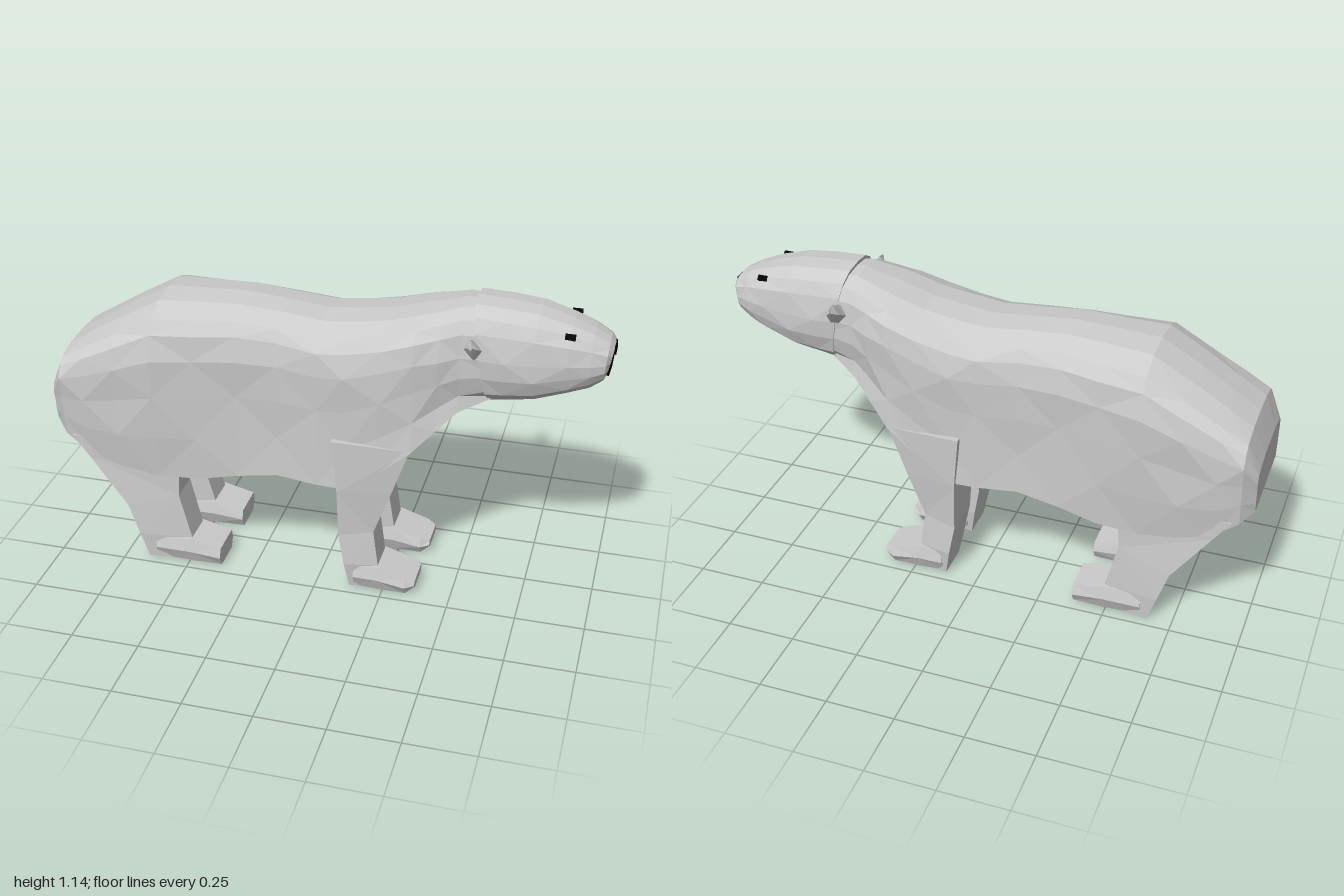
import * as THREE from 'three';

const grey = new THREE.MeshStandardMaterial({ color: 0xcccccc, flatShading: true });
const black = new THREE.MeshStandardMaterial({ color: 0x050505, flatShading: true });

// Closed skin over rings that turn right-handed about the sweep direction
function loft(rings) {
  const pos = [];
  const tri = (...pts) => pts.forEach((p) => pos.push(...p));
  const n = rings[0].length;
  const centre = (r) => [0, 1, 2].map((k) => r.reduce((s, p) => s + p[k], 0) / n);
  const first = rings[0], last = rings[rings.length - 1];
  const c0 = centre(first), c1 = centre(last);
  for (let j = 0; j < n; j++) {
    const k = (j + 1) % n;
    for (let i = 0; i < rings.length - 1; i++) {
      const a = rings[i], b = rings[i + 1];
      if ((i + j) % 2) { tri(a[j], a[k], b[k]); tri(a[j], b[k], b[j]); }
      else { tri(a[j], a[k], b[j]); tri(a[k], b[k], b[j]); }
    }
    tri(c0, first[k], first[j]);
    tri(c1, last[j], last[k]);
  }
  const g = new THREE.BufferGeometry();
  g.setAttribute('position', new THREE.Float32BufferAttribute(pos, 3));
  g.computeVertexNormals();
  return g;
}

// Half outlines [width, height]: broad back for the trunk, rounder for the head
const broad = [[0.45, 0.985], [0.8, 0.93], [0.94, 0.86], [1, 0.72], [0.97, 0.5], [0.95, 0.25]];
const round = [[0.45, 0.98], [0.78, 0.9], [0.93, 0.76], [1, 0.5], [0.97, 0.3], [0.83, 0.12]];

// Section: x, bottom, top, half width, bottom width ratio, roundness, shear
function section([x, y0, y1, hw, bw, k, shear = 0], i) {
  const half = broad.map(([w, t], j) => {
    const rough = 1 + 0.018 * Math.sin(i * 2.3 + j * 4.1);
    return [THREE.MathUtils.lerp(w, round[j][0], k) * rough, THREE.MathUtils.lerp(t, round[j][1], k)];
  });
  half.push([bw, 0]);
  const outline = [[0, 1], ...half, [0, 0], ...half.map(([w, t]) => [-w, t]).reverse()];
  return outline.map(([w, t]) => {
    const y = y0 + (y1 - y0) * t;
    return [x + shear * (0.95 - y), y, w * hw];
  });
}

const trunk = [
  [-1.0, 0.54, 0.72, 0.2, 0.9, 0.2],
  [-0.955, 0.5, 0.83, 0.24, 0.9, 0],
  [-0.87, 0.43, 0.885, 0.245, 0.88, 0],
  [-0.74, 0.39, 0.965, 0.248, 0.88, 0],
  [-0.6, 0.37, 1.045, 0.25, 0.86, 0],
  [-0.45, 0.375, 1.052, 0.228, 0.92, 0],
  [-0.3, 0.405, 1.058, 0.21, 0.95, 0],
  [-0.15, 0.43, 1.045, 0.205, 0.96, 0],
  [0, 0.42, 1.03, 0.217, 0.96, 0],
  [0.1, 0.42, 1.04, 0.22, 0.97, 0],
  [0.23, 0.51, 1.058, 0.22, 0.97, 0],
  [0.34, 0.6, 1.09, 0.21, 1, 0.1],
  [0.42, 0.685, 1.11, 0.185, 0.97, 0.4],
  [0.49, 0.755, 1.13, 0.16, 0.93, 0.7],
  [0.62, 0.805, 1.12, 0.138, 0.6, 1],
];
const head = [
  [0.555, 0.785, 1.142, 0.152, 0.55, 1, 0.18],
  [0.64, 0.79, 1.136, 0.155, 0.5, 1],
  [0.74, 0.805, 1.126, 0.154, 0.5, 1],
  [0.85, 0.843, 1.095, 0.134, 0.55, 1],
  [0.925, 0.87, 1.065, 0.112, 0.6, 1],
  [0.972, 0.9, 1.035, 0.092, 0.65, 1, -0.08],
  [0.983, 0.925, 1.015, 0.07, 0.65, 1, -0.18],
];

// Leg ring: back x, y, front x, y, inner z, outer z; the front edge is narrower
const legRing = ([xb, yb, xf, yf, zi, zo]) => [
  [xf, yf, zi + 0.02], [xf, yf, zo - 0.025], [xb, yb, zo], [xb, yb, zi]];
const frontLeg = [
  [0.06, 0.62, 0.338, 0.605, 0.015, 0.232], [0.08, 0.41, 0.275, 0.42, 0.03, 0.225],
  [0.085, 0.22, 0.21, 0.24, 0.05, 0.215], [0.107, 0.1, 0.23, 0.1, 0.055, 0.22],
  [0.125, 0, 0.24, 0, 0.07, 0.205]];
const hindLeg = [
  [-0.93, 0.5, -0.5, 0.5, 0.03, 0.225], [-0.87, 0.415, -0.53, 0.36, 0.04, 0.22],
  [-0.73, 0.22, -0.535, 0.28, 0.05, 0.22], [-0.69, 0.1, -0.49, 0.1, 0.055, 0.22],
  [-0.66, 0, -0.47, 0, 0.065, 0.21]];

// Foot ring: x, bottom, top, inner z, outer z
const footRing = ([x, y0, y1, zi, zo]) => [
  [x, y1, zi + 0.01], [x, y1, zo - 0.01], [x, (y0 + y1) / 2, zo], [x, y0, zo - 0.02],
  [x, y0, zi + 0.02], [x, (y0 + y1) / 2, zi]];
const frontFoot = [[0.14, 0, 0.09, 0.06, 0.215], [0.23, 0, 0.1, 0.055, 0.222],
  [0.335, 0, 0.067, 0.055, 0.222], [0.37, 0.025, 0.055, 0.07, 0.205]];
const hindFoot = [[-0.63, 0, 0.09, 0.06, 0.215], [-0.49, 0, 0.1, 0.055, 0.222],
  [-0.375, 0, 0.075, 0.06, 0.218]];

// Ear ring: z, bottom, top, half depth
const earRing = ([z, y0, y1, d]) => {
  const m = (y0 + y1) / 2;
  return [[0.535 + d, m, z], [0.53, y1, z], [0.535 - d, m, z], [0.54, y0, z]];
};
const ear = [[0.12, 0.94, 1.03, 0.03], [0.165, 0.975, 1.045, 0.028],
  [0.205, 0.995, 1.066, 0.025], [0.237, 1.04, 1.06, 0.008]];

// Face patch: two [x, y, half width] edges, top then bottom, with a little depth
const patch = ([xt, yt, wt], [xb, yb, wb]) => loft([-0.02, 0].map((d) => [
  [xt + d, yt, -wt], [xt + d, yt, wt], [xb + d, yb, wb], [xb + d, yb, -wb]]));

export function createModel() {
  const model = new THREE.Group();
  model.name = 'bear';
  const add = (name, geometry, material = grey) => {
    const mesh = new THREE.Mesh(geometry, material);
    mesh.name = name;
    model.add(mesh);
    return mesh;
  };

  add('trunk', loft(trunk.map(section)));
  add('head', loft(head.map(section)));
  add('nose', patch([0.998, 1.015, 0.034], [1.0, 0.988, 0.034]), black);
  add('mouth', patch([0.992, 0.957, 0.057], [0.984, 0.91, 0.042]), black);

  // Paired parts, mirrored across the middle
  for (const [side, s] of [['left', -1], ['right', 1]]) {
    const pair = (part, geometry) => { add(side + part, geometry).scale.z = s; };
    pair('FrontLeg', loft(frontLeg.map(legRing)));
    pair('HindLeg', loft(hindLeg.map(legRing)));
    pair('FrontFoot', loft(frontFoot.map(footRing)));
    pair('HindFoot', loft(hindFoot.map(footRing)));
    pair('Ear', loft(ear.map(earRing)));
    const eye = add(side + 'Eye', new THREE.BoxGeometry(0.035, 0.02, 0.014), black);
    eye.position.set(0.85, 1.068, s * 0.106);
    eye.rotation.x = -s * 0.7;
  }
  return model;
}
